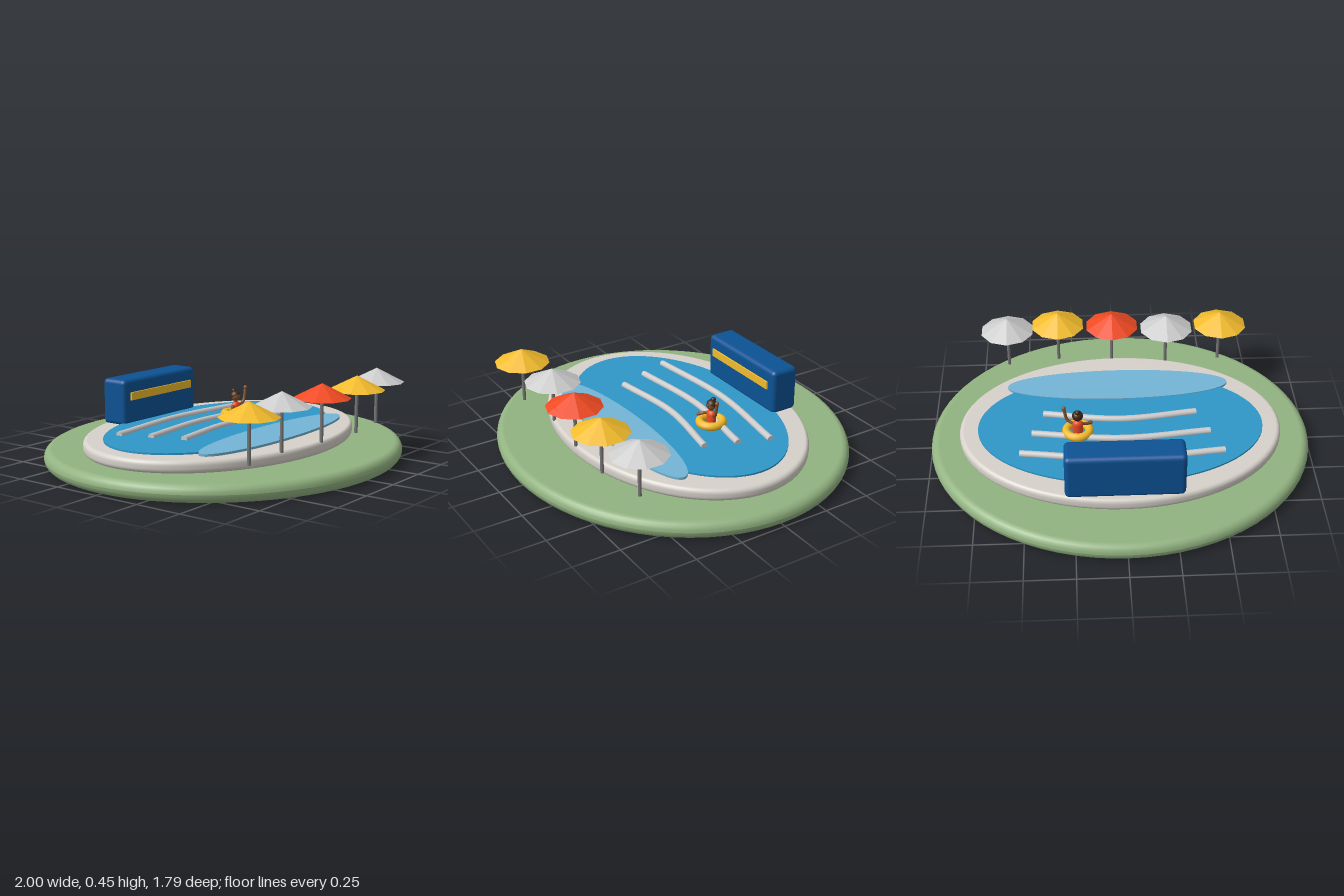
import * as THREE from 'three';
import { RoundedBoxGeometry } from 'three/addons/geometries/RoundedBoxGeometry.js';

const mat = (color, flatShading = false) => new THREE.MeshStandardMaterial({ color, flatShading });
const YELLOW = 0xf2bb2c, RED = 0xf04a22, GREY = 0xcccccc, SKIN = 0x8a5229, HAIR = 0x3f2413;
const V = (x, y, z) => new THREE.Vector3(x, y, z);

function add(parent, name, geometry, material, x = 0, y = 0, z = 0) {
  const mesh = new THREE.Mesh(geometry, material);
  mesh.name = name;
  mesh.position.set(x, y, z);
  parent.add(mesh);
  return mesh;
}

// Elliptical slab with rounded rim, standing on y
function slab(parent, name, rx, rz, height, bevel, color, y, z) {
  const pts = [new THREE.Vector2(0, 0)];
  const b = Math.min(bevel, height / 2);
  for (const [cy, start] of [[b, -Math.PI / 2], [height - b, 0]]) {
    for (let i = 0; i <= 5; i++) {
      const a = start + (i / 5) * Math.PI / 2;
      pts.push(new THREE.Vector2(rx - bevel + bevel * Math.cos(a), cy + b * Math.sin(a)));
    }
  }
  pts.push(new THREE.Vector2(0, height));
  const mesh = add(parent, name, new THREE.LatheGeometry(pts, 72), mat(color), 0, y, z);
  mesh.scale.z = rz / rx;
}

// Thin flat ellipse
function sheet(parent, name, rx, rz, y, z, color) {
  const mesh = add(parent, name, new THREE.CylinderGeometry(rx, rx, 0.012, 72), mat(color), 0, y, z);
  mesh.scale.z = rz / rx;
}

function tube(parent, name, points, radius, color) {
  const curve = new THREE.CatmullRomCurve3(points);
  add(parent, name, new THREE.TubeGeometry(curve, 28, radius, 10), mat(color));
  // closed ends
  for (const [t, sign] of [[0, -1], [1, 1]]) {
    const cap = add(parent, name + 'End', new THREE.CircleGeometry(radius, 10), mat(color));
    cap.position.copy(curve.getPoint(t));
    cap.lookAt(curve.getPoint(t).addScaledVector(curve.getTangent(t), sign));
  }
}

function umbrella(x, z, color) {
  const g = new THREE.Group();
  g.name = 'umbrella';
  add(g, 'umbrellaPole', new THREE.CylinderGeometry(0.009, 0.009, 0.26, 10), mat(0x777777), 0, 0.275, 0);
  add(g, 'umbrellaCanopy', new THREE.ConeGeometry(0.147, 0.075, 10), mat(color, true), 0, 0.408, 0);
  g.position.set(x, 0, z);
  return g;
}

function swimmer() {
  const g = new THREE.Group();
  g.name = 'swimmer';
  const ball = (name, r, color, x, y, z) => add(g, name, new THREE.SphereGeometry(r, 18, 12), mat(color), x, y, z);
  add(g, 'swimRing', new THREE.TorusGeometry(0.06, 0.022, 12, 32), mat(YELLOW), 0, 0.178, 0).rotation.x = Math.PI / 2;
  add(g, 'torso', new THREE.CapsuleGeometry(0.028, 0.035, 6, 16), mat(RED), 0, 0.2, 0).scale.z = 0.8;
  add(g, 'neck', new THREE.CylinderGeometry(0.01, 0.012, 0.025, 10), mat(SKIN), 0, 0.247, 0);
  ball('head', 0.026, SKIN, 0, 0.273, 0);
  // hair cap tilted towards the back, with a bun
  const hair = add(g, 'hair', new THREE.SphereGeometry(0.0285, 18, 10, 0, Math.PI * 2, 0, Math.PI * 0.55), mat(HAIR), 0, 0.275, -0.002);
  hair.material.side = THREE.DoubleSide;
  hair.rotation.x = -0.5;
  ball('hairBun', 0.013, HAIR, 0, 0.302, -0.012);
  for (const s of [-1, 1]) ball('eye', 0.003, 0x1a1a1a, s * 0.009, 0.275, 0.024);
  // raised left arm and right arm resting on the ring
  tube(g, 'raisedArm', [V(0.024, 0.222, 0.003), V(0.053, 0.24, 0.012), V(0.07, 0.31, 0.014)], 0.008, SKIN);
  ball('raisedHand', 0.011, SKIN, 0.07, 0.314, 0.014);
  tube(g, 'restingArm', [V(-0.024, 0.222, 0.003), V(-0.05, 0.21, 0.015), V(-0.066, 0.202, 0.032)], 0.008, SKIN);
  ball('restingHand', 0.011, SKIN, -0.067, 0.202, 0.034);
  g.position.set(0.225, 0, -0.107);
  return g;
}

export function createModel() {
  const model = new THREE.Group();
  model.name = 'swimmingPool';

  // Lawn, deck and water
  slab(model, 'lawn', 1, 0.897, 0.09, 0.045, 0x92b381, 0, -0.003);
  slab(model, 'poolDeck', 0.845, 0.61, 0.065, 0.025, 0xd6d1ca, 0.087, -0.025);
  sheet(model, 'water', 0.747, 0.465, 0.155, -0.045, 0x2f97c9);
  sheet(model, 'shallowWater', 0.6, 0.13, 0.159, 0.305, 0x74b4d5);

  // Curved lane dividers: half length, left, middle and right z
  for (const [h, z0, z1, z2] of [[0.525, -0.283, -0.33, -0.267], [0.465, -0.122, -0.167, -0.108], [0.405, 0.042, -0.005, 0.055]]) {
    tube(model, 'laneDivider', [V(-h, 0.165, z0), V(0, 0.165, z1), V(h, 0.165, z2)], 0.0185, GREY);
  }

  // Kiosk behind the pool with its front stripe
  add(model, 'kiosk', new RoundedBoxGeometry(0.595, 0.245, 0.155, 4, 0.024), mat(0x0c5294), 0, 0.27, -0.526);
  add(model, 'kioskStripe', new THREE.BoxGeometry(0.5, 0.042, 0.014), mat(YELLOW), 0, 0.303, -0.446);

  // Row of umbrellas along the front
  for (const [x, z, color] of [[-0.578, 0.567, YELLOW], [-0.278, 0.542, GREY], [0.022, 0.577, RED], [0.322, 0.597, YELLOW], [0.6, 0.553, GREY]]) {
    model.add(umbrella(x, z, color));
  }

  model.add(swimmer());
  return model;
}
